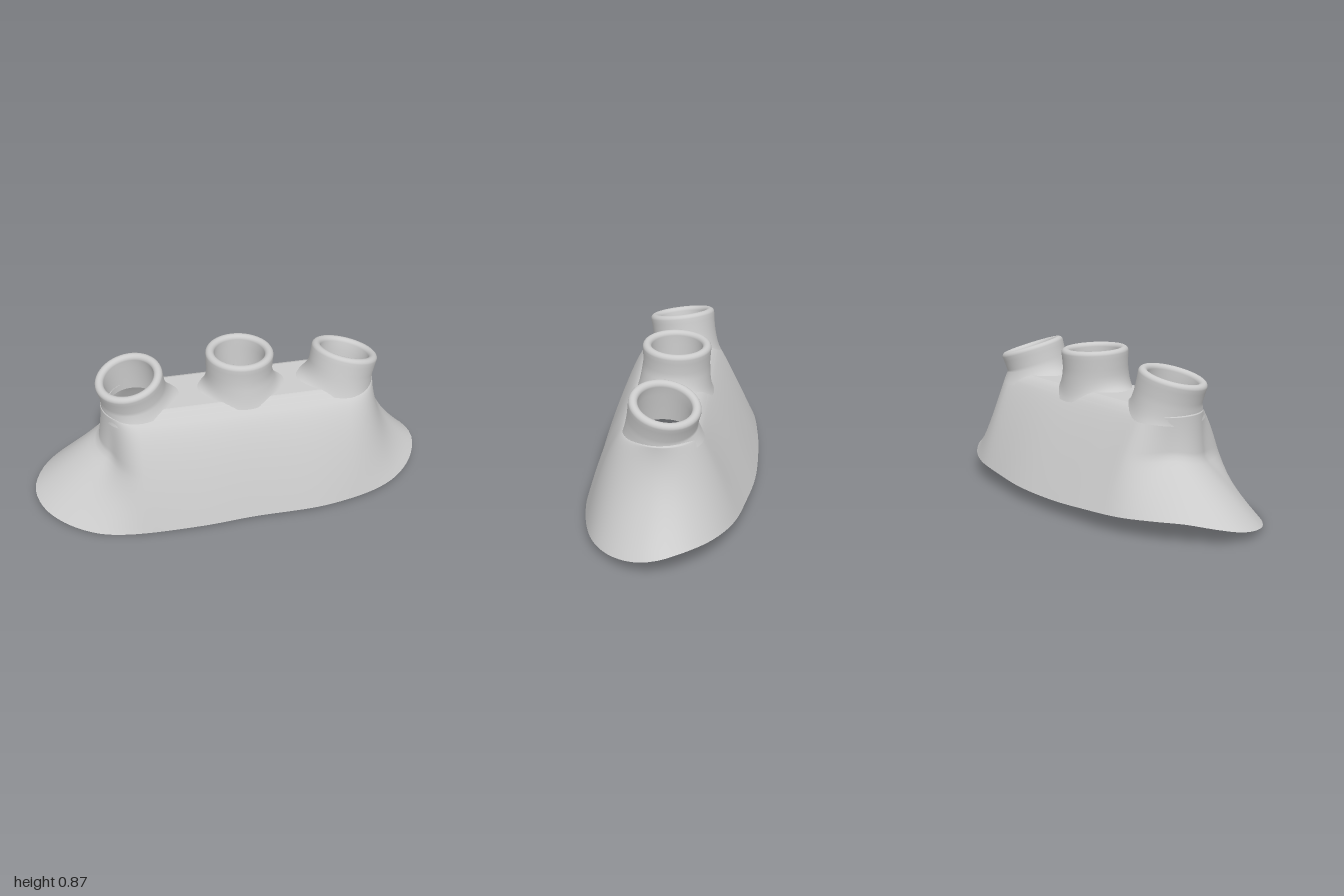
import * as THREE from 'three';

const material = new THREE.MeshStandardMaterial({ color: 0xcccccc, side: THREE.DoubleSide });
const V = (x, y, z) => new THREE.Vector3(x, y, z);

// Foot outline, counter-clockwise seen from above
const outline = [
  [0.49, 0.12, -1], [0.28, 0.11, -0.95], [0.08, 0.1, -0.84], [-0.12, 0.09, -0.65], [-0.31, 0.08, -0.44],
  [-0.5, 0.08, -0.17], [-0.62, 0.09, 0.03], [-0.74, 0.1, 0.28], [-0.785, 0.11, 0.5], [-0.785, 0.11, 0.65],
  [-0.76, 0.09, 0.8], [-0.68, 0.06, 0.93], [-0.53, 0.035, 0.995], [-0.36, 0.015, 0.985], [-0.17, 0.003, 0.91],
  [-0.03, 0, 0.79], [0.23, 0.01, 0.46], [0.4, 0.02, 0.2], [0.65, 0.025, -0.17], [0.78, 0.035, -0.5],
  [0.785, 0.045, -0.7], [0.73, 0.07, -0.87], [0.64, 0.1, -0.97],
];
const N = 120;
const foot = new THREE.CatmullRomCurve3(outline.map(p => V(...p)), true).getSpacedPoints(N).slice(0, N);

// Ridge line joining the three ports, with their bases on it
const frontEnd = V(-0.32, 0, 0.43), backEnd = V(0.365, 0, -0.56);
const ridge = new THREE.Line3(frontEnd, backEnd);
const axis = frontEnd.clone().sub(backEnd).normalize();
const across = V(axis.z, 0, -axis.x);
const ports = [
  { name: 'frontPort', top: V(-0.325, 0.805, 0.47), tilt: 0.25, base: frontEnd, end: 1 },
  { name: 'middlePort', top: V(0.015, 0.867, -0.085), tilt: -0.04, base: V(0.028, 0, -0.083), end: 0 },
  { name: 'backPort', top: V(0.37, 0.793, -0.605), tilt: -0.31, base: backEnd, end: -1 },
];

// Closed rings of equal length joined into one smooth skin
function loft(rings) {
  const n = rings[0].length, index = [];
  for (let i = 0; i < rings.length - 1; i++) {
    for (let j = 0; j < n; j++) {
      const a = i * n + j, b = i * n + (j + 1) % n;
      index.push(a, b, a + n, b, b + n, a + n);
    }
  }
  const g = new THREE.BufferGeometry().setFromPoints(rings.flat());
  g.setIndex(index);
  g.computeVertexNormals();
  return g;
}

// Remaining flare at height t: full sides, a kinked flange in front, a hollow curve at the back
function flare(t, dir) {
  const along = dir.dot(axis);
  const side = Math.pow(1 - t, 0.74 - 0.12 * dir.dot(across));
  if (along < 0) return THREE.MathUtils.lerp(side, (1 - t) ** 2, along * along);
  const flange = Math.max(1 - 1.68 * t, 0.3 * (1 - t) ** 2);
  return THREE.MathUtils.lerp(side, flange, THREE.MathUtils.smoothstep(along, 0, 0.85));
}

// Wall ring at fraction t from the foot to the shoulder
function wallRing(t, inset, topR, topY) {
  return foot.map(p => {
    const q = ridge.closestPointToPoint(V(p.x, 0, p.z), true, V(0, 0, 0));
    const dir = V(p.x - q.x, 0, p.z - q.z);
    const reach = dir.length() - inset;
    dir.normalize();
    const r = topR + (reach - topR) * flare(t, dir);
    return q.addScaledVector(dir, r).setY(p.y + t * (topY - p.y));
  });
}

// Flat top inside a ring, pierced by the port bores
function cap(ring, y) {
  const shape = new THREE.Shape(ring.map(p => new THREE.Vector2(p.x, -p.z)));
  for (const { base } of ports) {
    shape.holes.push(new THREE.Path().absarc(base.x, -base.z, 0.145, 0, Math.PI * 2, true));
  }
  return new THREE.ShapeGeometry(shape, 24).rotateX(-Math.PI / 2).translate(0, y, 0);
}

// Tilted port: fillet into the body, outer wall, rounded lip and bore
function port({ top, tilt, base, end }) {
  const turn = new THREE.Euler(tilt, 0, 0);
  const angles = Array.from({ length: 48 }, (_, i) => i * Math.PI / 24);
  const unit = a => V(Math.cos(a), 0, -Math.sin(a));
  const tilted = (a, r, h) => unit(a).multiplyScalar(r).setY(h).applyEuler(turn).add(top);
  const level = (a, r, y) => unit(a).multiplyScalar(r).add(base).setY(y);
  const rings = [];
  // fillet: widest where it faces a neighbouring port, sunk into the body elsewhere
  for (let k = 0; k <= 6; k++) {
    rings.push(angles.map(a => {
      const along = unit(a).dot(axis);
      const inward = end === 0 ? along ** 2 : Math.max(0, -along * end) ** 2;
      const side = 1 - along * along;
      const y = 0.55 + 0.088 * inward + 0.02 * side;
      const start = level(a, 0.193 + 0.067 * inward + 0.032 * side, y);
      const bend = level(a, 0.193 + 0.008 * side, y + 0.015 + 0.03 * side);
      return new THREE.QuadraticBezierCurve3(start, bend, tilted(a, 0.19, -0.11)).getPoint(k / 6);
    }));
  }
  rings.push(angles.map(a => tilted(a, 0.193, -0.05)));
  for (let k = 0; k <= 8; k++) {
    const b = k * Math.PI / 8;
    rings.push(angles.map(a => tilted(a, 0.17 + 0.025 * Math.cos(b), -0.025 + 0.025 * Math.sin(b))));
  }
  rings.push(angles.map(a => tilted(a, 0.145, -0.08)));
  rings.push(angles.map(a => level(a, 0.145, 0.6)));
  return loft(rings);
}

export function createModel() {
  const group = new THREE.Group();
  const add = (name, geometry) => {
    const mesh = new THREE.Mesh(geometry, material);
    mesh.name = name;
    group.add(mesh);
  };
  // heights bunched towards the shoulder, where the sides curve most
  const steps = Array.from({ length: 25 }, (_, i) => 1 - (1 - i / 24) ** 1.6);

  // Outer wall with a rounded shoulder
  const outer = steps.map(t => wallRing(t, 0, 0.2, 0.605));
  const shoulder = [[0.19, 0.617], [0.175, 0.629], [0.158, 0.638], [0.149, 0.64]]
    .map(([r, y]) => wallRing(1, 0, r, y));
  add('outerWall', loft([...outer, ...shoulder]));
  add('topPlate', cap(shoulder[3], 0.64));

  // Inner wall and ceiling
  const inner = steps.map(t => wallRing(t, 0.045, 0.16, 0.6));
  add('innerWall', loft([...inner].reverse()));
  add('ceiling', cap(inner[24], 0.6));

  // Bottom edge joining both walls
  add('bottomRim', loft([inner[0], outer[0]]));

  for (const p of ports) add(p.name, port(p));
  return group;
}
